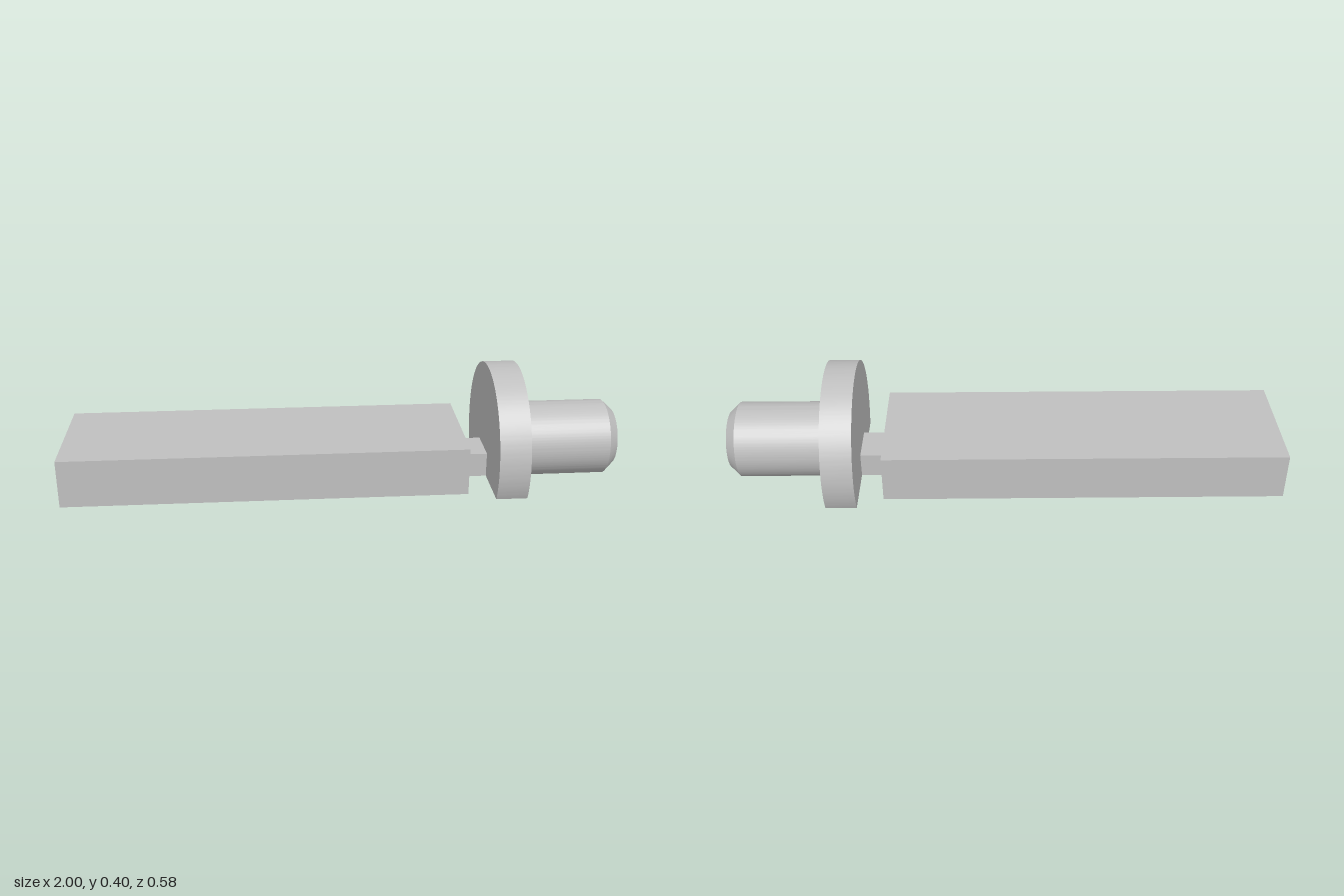
import * as THREE from 'three';
import { toCreasedNormals } from 'three/addons/utils/BufferGeometryUtils.js';

const AXIS_Y = 0.116; // height of the round parts' axis above the flat underside

export function createModel() {
  const group = new THREE.Group();
  const steel = new THREE.MeshStandardMaterial({ color: 0xbfbfbf });
  steel.name = 'plain grey';

  const add = (name, geometry) => {
    const mesh = new THREE.Mesh(geometry, steel);
    mesh.name = name;
    group.add(mesh);
  };

  // Rectangular block resting on the ground between two x positions
  const block = (name, x0, x1, height, depth) => {
    const g = new THREE.BoxGeometry(x1 - x0, height, depth);
    add(name, g.translate((x0 + x1) / 2, height / 2, 0));
  };

  // Disc along x whose underside is cut flat at y = 0
  const flatDisc = (name, x0, x1, radius) => {
    const a = Math.asin(AXIS_Y / radius);
    const shape = new THREE.Shape();
    shape.absarc(0, AXIS_Y, radius, -a, Math.PI + a, false);
    shape.closePath();
    const g = new THREE.ExtrudeGeometry(shape, { depth: x1 - x0, bevelEnabled: false, curveSegments: 72 });
    g.rotateY(Math.PI / 2).translate(x0, 0, 0);
    add(name, toCreasedNormals(g, Math.PI / 6));
  };

  block('bar', -1, 0.435, 0.174, 0.432);
  block('neck', 0.435, 0.526, 0.089, 0.146);
  flatDisc('flange', 0.526, 0.637, 0.288);
  flatDisc('pin', 0.637, 0.964, 0.137);

  // Chamfered pin tip: a cone with end cap, flattened where it dips below the ground
  const profile = [];
  for (let i = 0; i <= 8; i++) {
    profile.push(new THREE.Vector2(0.137 - (0.034 * i) / 8, (0.036 * i) / 8));
  }
  profile.push(new THREE.Vector2(0, 0.036));
  const tip = new THREE.LatheGeometry(profile, 144);
  tip.rotateZ(-Math.PI / 2).translate(0.964, AXIS_Y, 0);
  const pos = tip.attributes.position;
  for (let i = 0; i < pos.count; i++) pos.setY(i, Math.max(0, pos.getY(i)));
  add('pinTip', toCreasedNormals(tip, Math.PI / 6));

  return group;
}
